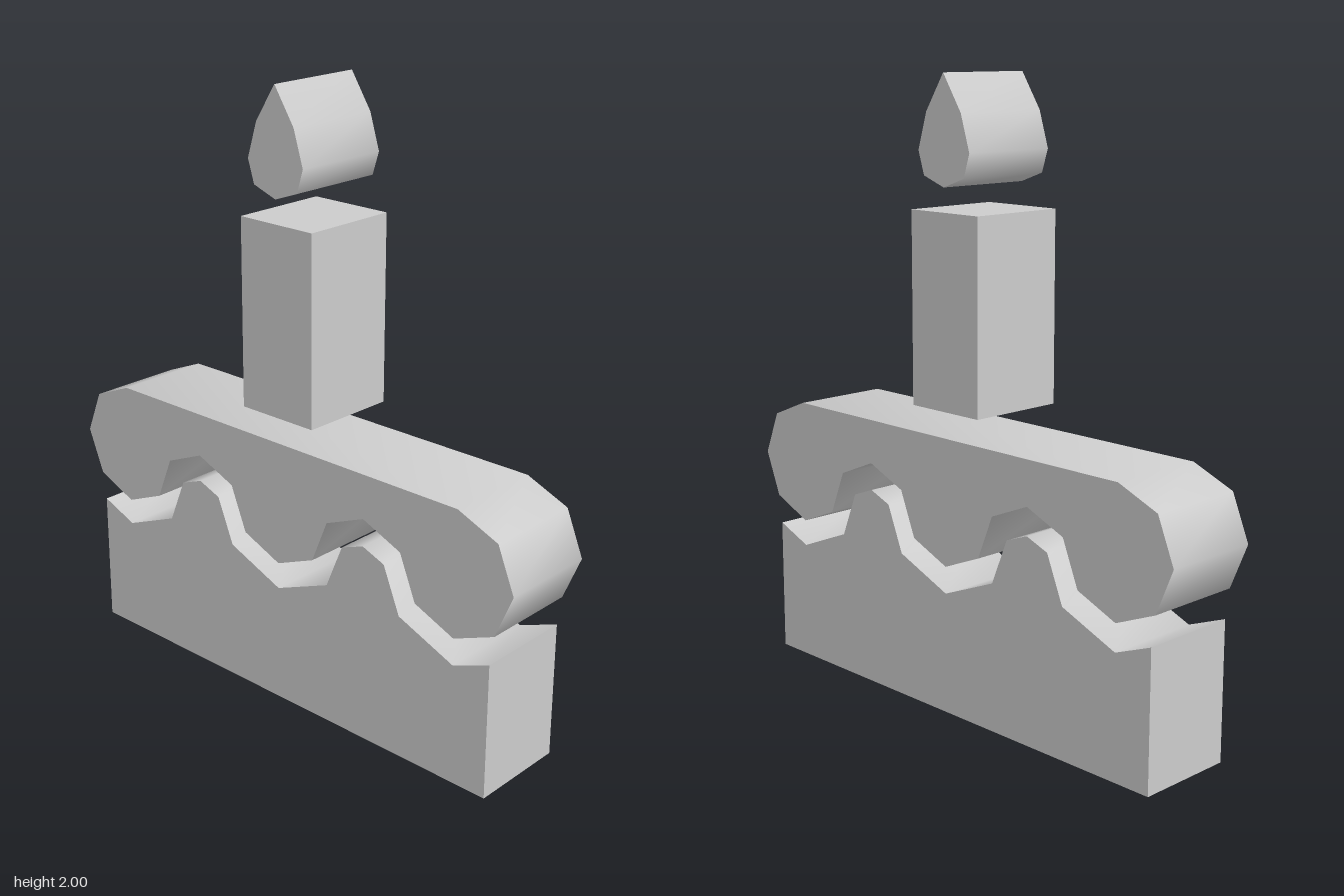
import * as THREE from 'three';
import { toCreasedNormals } from 'three/addons/utils/BufferGeometryUtils.js';

const DEPTH = 0.33;
const material = new THREE.MeshStandardMaterial({ color: 0xcccccc });

// Extrudes a symmetric outline; `half` lists its +x side from bottom to top.
function slab(name, half) {
  const mirrored = half.filter(([x]) => x > 0).reverse().map(([x, y]) => [-x, y]);
  const outline = [...half, ...mirrored].map(([x, y]) => new THREE.Vector2(x, y));
  const geometry = new THREE.ExtrudeGeometry(new THREE.Shape(outline), { depth: DEPTH, bevelEnabled: false });
  geometry.translate(0, 0, -DEPTH / 2);
  const mesh = new THREE.Mesh(toCreasedNormals(geometry, THREE.MathUtils.degToRad(60)), material);
  mesh.name = name;
  return mesh;
}

export function createModel() {
  const group = new THREE.Group();
  group.name = 'cakeSlice';

  // Cake body with a wavy top edge
  group.add(slab('cakeBase', [
    [0.84, 0], [0.84, 0.448], [0.707, 0.396], [0.5, 0.48], [0.438, 0.63],
    [0.354, 0.662], [0.27, 0.63], [0.208, 0.48], [0, 0.396],
  ]));

  // Icing with three rounded drips
  group.add(slab('icing', [
    [0, 0.484], [0.147, 0.545], [0.207, 0.691], [0.354, 0.752], [0.5, 0.691],
    [0.56, 0.545], [0.707, 0.484], [0.853, 0.545], [0.913, 0.691],
    [0.853, 0.836], [0.707, 0.896],
  ]));

  // Candle
  const candle = new THREE.Mesh(new THREE.BoxGeometry(0.29, 0.61, DEPTH), material);
  candle.name = 'candle';
  candle.position.y = 1.284;
  group.add(candle);

  // Teardrop flame
  group.add(slab('flame', [
    [0, 1.664], [0.087, 1.695], [0.111, 1.77], [0.075, 1.885], [0, 2],
  ]));

  return group;
}
